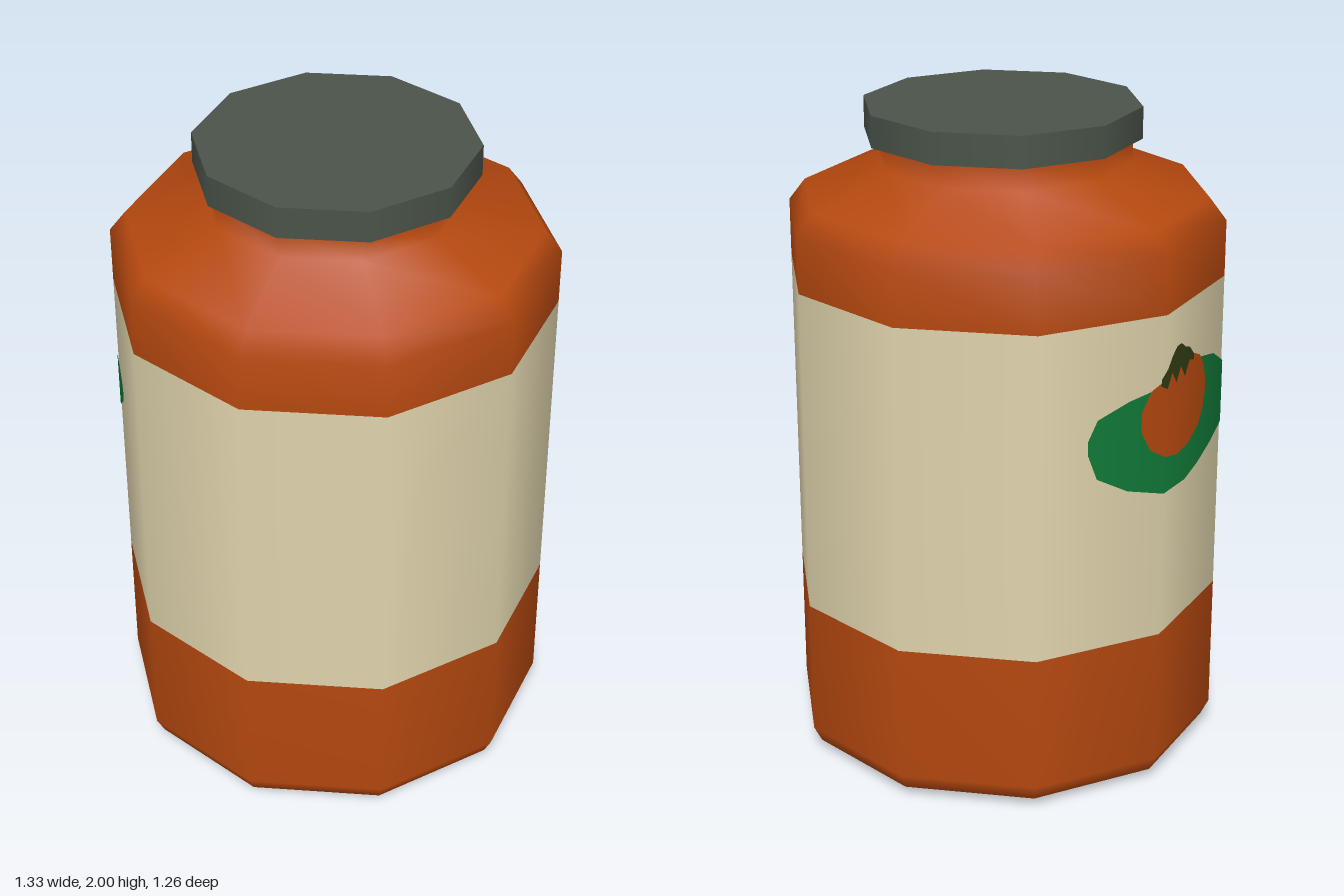
import * as THREE from 'three';

const SIDES = 10;
const R = 0.66;

const mat = (name, color, side = THREE.FrontSide) => {
  const m = new THREE.MeshStandardMaterial({ color, side });
  m.name = name;
  return m;
};

// Ten-sided wall turned from a profile of [radius, height], with a corner on the x axis
function wall(name, profile, material) {
  const pts = profile.map(([r, y]) => new THREE.Vector2(r, y));
  const mesh = new THREE.Mesh(new THREE.LatheGeometry(pts, SIDES, Math.PI / 2), material);
  mesh.name = name;
  return mesh;
}

// Point on the ten-sided wall, u = distance along the wall from the -x corner towards +z
const FACET = 2 * R * Math.sin(Math.PI / SIDES);
function onWall(u, lift) {
  const i = Math.floor(u / FACET);
  const corner = (k) => {
    const a = (k * 2 * Math.PI) / SIDES;
    return new THREE.Vector2(-Math.cos(a), Math.sin(a)).multiplyScalar(R + lift);
  };
  return corner(i).lerp(corner(i + 1), u / FACET - i);
}

// Thin printed shape wrapped on the wall, from columns of [u, bottom, top]
function decal(name, columns, lift, material) {
  const pos = [], nor = [], index = [];
  columns.forEach(([u, lo, hi], i) => {
    const p = onWall(u, lift);
    const n = p.clone().normalize();
    pos.push(p.x, lo, p.y, p.x, hi, p.y);
    nor.push(n.x, 0, n.y, n.x, 0, n.y);
    if (i > 0) {
      const a = 2 * i - 2;
      index.push(a, a + 2, a + 3, a, a + 3, a + 1);
    }
  });
  const g = new THREE.BufferGeometry();
  g.setAttribute('position', new THREE.Float32BufferAttribute(pos, 3));
  g.setAttribute('normal', new THREE.Float32BufferAttribute(nor, 3));
  g.setIndex(index);
  const mesh = new THREE.Mesh(g, material);
  mesh.name = name;
  return mesh;
}

export function createModel() {
  const orange = mat('sauceOrange', 0xb5480f, THREE.DoubleSide);
  const cream = mat('labelCream', 0xe0d4ad, THREE.DoubleSide);
  const grey = mat('lidGrey', 0x4a5349);
  const green = mat('leafGreen', 0x117a38);
  const darkGreen = mat('stemGreen', 0x2e3a12);

  const jar = new THREE.Group();
  jar.name = 'jar';

  // Jar body, open at the bottom
  jar.add(wall('jarBase', [[0.57, 0], [0.635, 0.03], [R, 0.08], [R, 0.5]], orange));
  jar.add(wall('label', [[R, 0.5], [R, 1.5]], cream));
  jar.add(wall('jarShoulder',
    [[R, 1.5], [R, 1.67], [0.61, 1.735], [0.38, 1.83], [0.38, 1.91]], orange));

  // Lid
  const lid = new THREE.Mesh(
    new THREE.CylinderGeometry(0.415, 0.415, 0.095, SIDES, 1, false, Math.PI / 2), grey);
  lid.name = 'lid';
  lid.position.set(0, 1.9525, -0.01);
  jar.add(lid);

  // Tomato on leaves, printed on the label
  jar.add(decal('leaves', [
    [-0.25, 1.12, 1.16], [-0.22, 1.04, 1.22], [-0.12, 0.985, 1.26], [0, 0.955, 1.29],
    [0.15, 0.945, 1.3], [0.24, 0.965, 1.3], [0.336, 1.0, 1.28], [FACET, 1.04, 1.235],
    [0.453, 1.08, 1.21], [0.485, 1.105, 1.18], [0.5, 1.13, 1.155],
  ], 0.003, green));
  jar.add(decal('tomato', [
    [-0.08, 1.16, 1.22], [-0.05, 1.1, 1.28], [0, 1.07, 1.31], [0.08, 1.05, 1.33],
    [0.16, 1.055, 1.34], [0.23, 1.09, 1.31], [0.26, 1.13, 1.27], [0.275, 1.18, 1.22],
  ], 0.005, orange));
  jar.add(decal('tomatoStem', [
    [-0.02, 1.29, 1.31], [0, 1.28, 1.34], [0.03, 1.32, 1.37], [0.06, 1.28, 1.39],
    [0.09, 1.32, 1.39], [0.12, 1.28, 1.37], [0.15, 1.32, 1.36], [0.18, 1.31, 1.33],
  ], 0.007, darkGreen));

  return jar;
}
